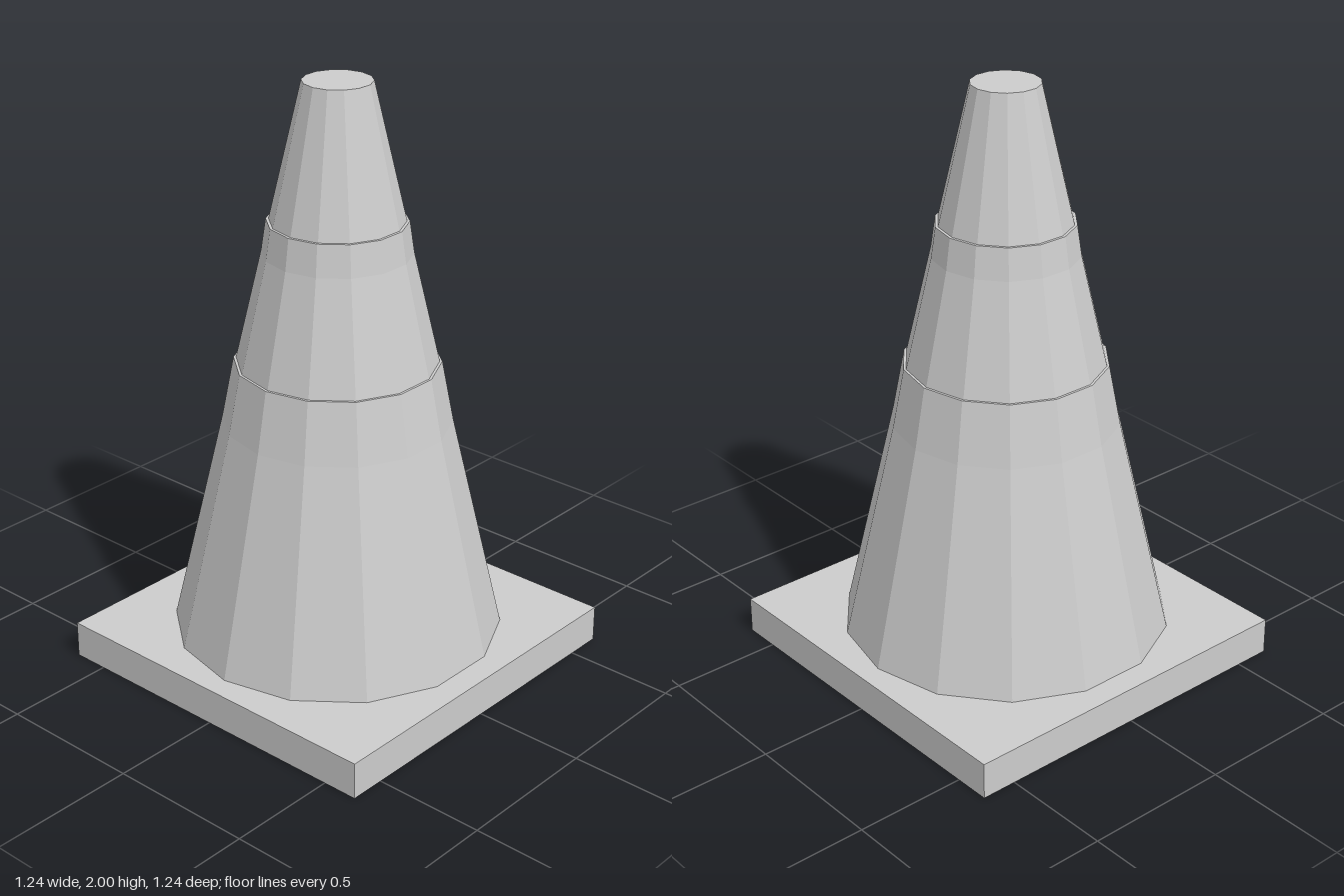
import * as THREE from 'three';

const SIDES = 14;
const BASE_TOP = 0.125, TOP = 2, R_BOTTOM = 0.549, R_TOP = 0.112;

// Radius of the cone body at height y
const coneRadius = (y) =>
  THREE.MathUtils.mapLinear(y, BASE_TOP, TOP, R_BOTTOM, R_TOP);

export function createModel() {
  const group = new THREE.Group();
  group.name = 'trafficCone';
  const grey = new THREE.MeshStandardMaterial({ color: 0xcccccc, flatShading: true });
  grey.name = 'light grey';

  const add = (name, geometry, y) => {
    const mesh = new THREE.Mesh(geometry, grey);
    mesh.name = name;
    mesh.position.y = y;
    group.add(mesh);
  };

  // Faceted frustum between two heights
  const addFrustum = (name, y0, y1, r0, r1) =>
    add(name, new THREE.CylinderGeometry(r1, r0, y1 - y0, SIDES), (y0 + y1) / 2);

  // Square foot plate
  add('base', new THREE.BoxGeometry(1.244, BASE_TOP, 1.244), BASE_TOP / 2);

  // Tapered body
  addFrustum('coneBody', BASE_TOP, TOP, R_BOTTOM, R_TOP);

  // Sleeves that leave the body surface and end in a small ledge
  addFrustum('lowerCollar', 0.87, 1.075, coneRadius(0.87), 0.336);
  addFrustum('upperCollar', 1.445, 1.55, coneRadius(1.445), 0.226);

  return group;
}
